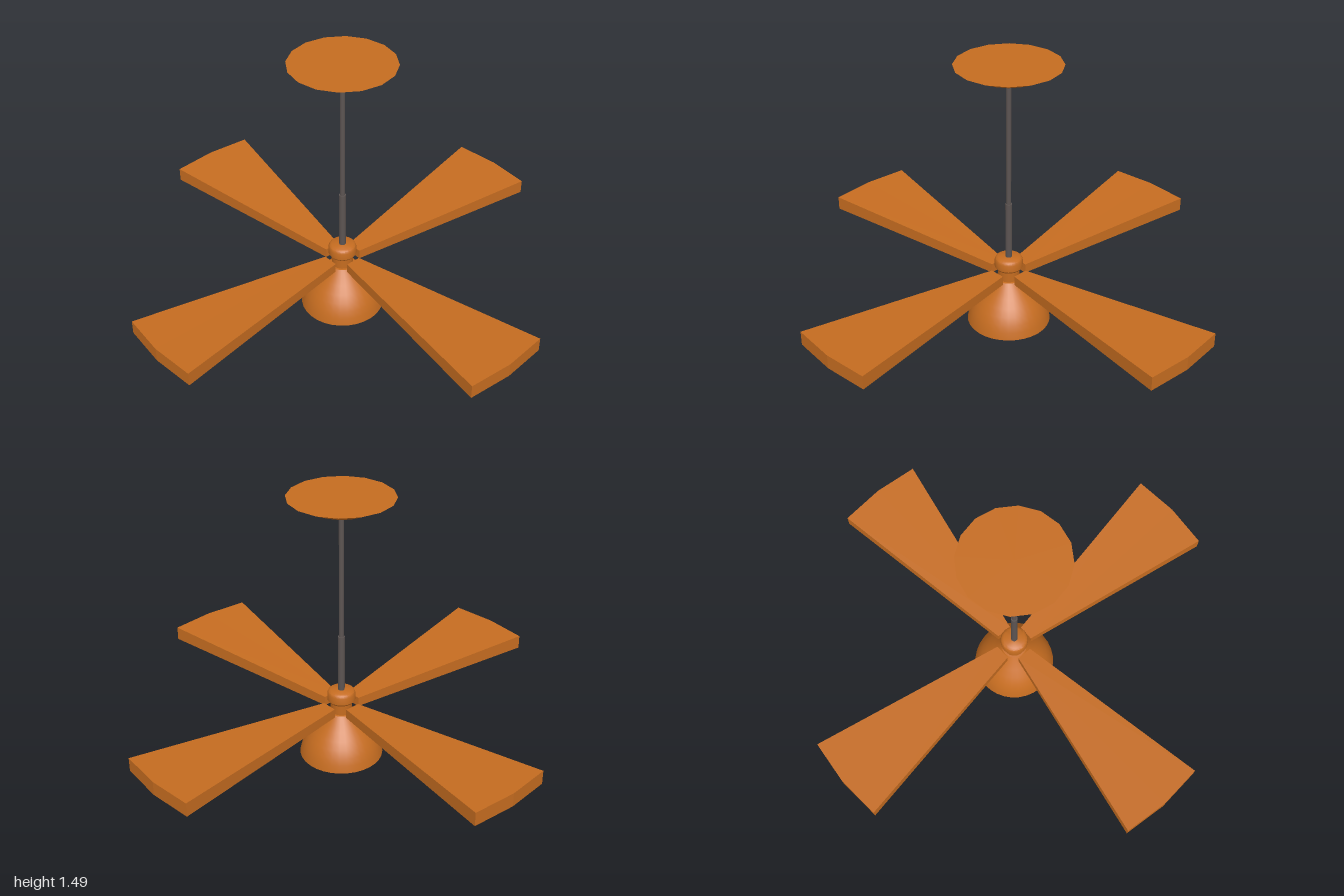
import * as THREE from 'three';
import { toCreasedNormals } from 'three/addons/utils/BufferGeometryUtils.js';

const SIDES = 16;

export function createModel() {
  const fan = new THREE.Group();
  fan.name = 'ceilingFan';
  const wood = new THREE.MeshStandardMaterial({ color: 0xc56c20 });
  const woodThin = new THREE.MeshStandardMaterial({ color: 0xc56c20, side: THREE.DoubleSide });
  const metal = new THREE.MeshStandardMaterial({ color: 0x5c5452 });

  const add = (name, geometry, material) => {
    const mesh = new THREE.Mesh(geometry, material);
    mesh.name = name;
    fan.add(mesh);
    return mesh;
  };
  // Profile points are [radius, height], listed from bottom to top
  const lathe = (points, sides = SIDES) =>
    toCreasedNormals(new THREE.LatheGeometry(points.map(([r, y]) => new THREE.Vector2(r, y)), sides), 0.6);
  const rod = (radius, bottom, top) =>
    new THREE.CylinderGeometry(radius, radius, top - bottom, SIDES).translate(0, (top + bottom) / 2, 0);

  // Ceiling canopy and two-stage down rod
  add('canopy', lathe([[0, 1.405], [0.1, 1.405], [0.15, 1.427], [0.275, 1.487], [0, 1.487]]), wood);
  add('upperRod', rod(0.013, 0.7, 1.41), metal);
  add('lowerRod', rod(0.018, 0.36, 0.71), metal);

  // Rounded motor collar above the narrow hub
  add('collar', lathe([
    [0, 0.322], [0.068, 0.322], [0.075, 0.332], [0.075, 0.37],
    [0.07, 0.382], [0.058, 0.39], [0, 0.39],
  ], 24), wood);
  add('hub', rod(0.058, 0.25, 0.33), wood);

  // Open bell-shaped lamp shade
  add('lampShade', lathe([
    [0.225, 0], [0.216, 0.04], [0.202, 0.078], [0.182, 0.115], [0.155, 0.152],
    [0.122, 0.19], [0.092, 0.226], [0.068, 0.258], [0, 0.265],
  ], 32), woodThin);

  // Flared blade: thickens and rises towards its tip
  const inner = 0.085, outer = 1.174;
  const outline = new THREE.Shape([
    [inner, -0.042], [outer, -0.24], [1.195, 0], [outer, 0.24], [inner, 0.042],
  ].map(([x, y]) => new THREE.Vector2(x, y)));
  const blade = new THREE.ExtrudeGeometry(outline, { depth: 1, bevelEnabled: false }).rotateX(-Math.PI / 2);
  const pos = blade.attributes.position;
  for (let i = 0; i < pos.count; i++) {
    const t = Math.min(1, (pos.getX(i) - inner) / (outer - inner));
    pos.setY(i, 0.265 + 0.031 * t + pos.getY(i) * (0.052 + 0.024 * t));
  }
  blade.computeVertexNormals();
  for (let i = 0; i < 4; i++) {
    add('blade' + (i + 1), blade, wood).rotation.y = Math.PI / 4 + i * Math.PI / 2;
  }
  return fan;
}
